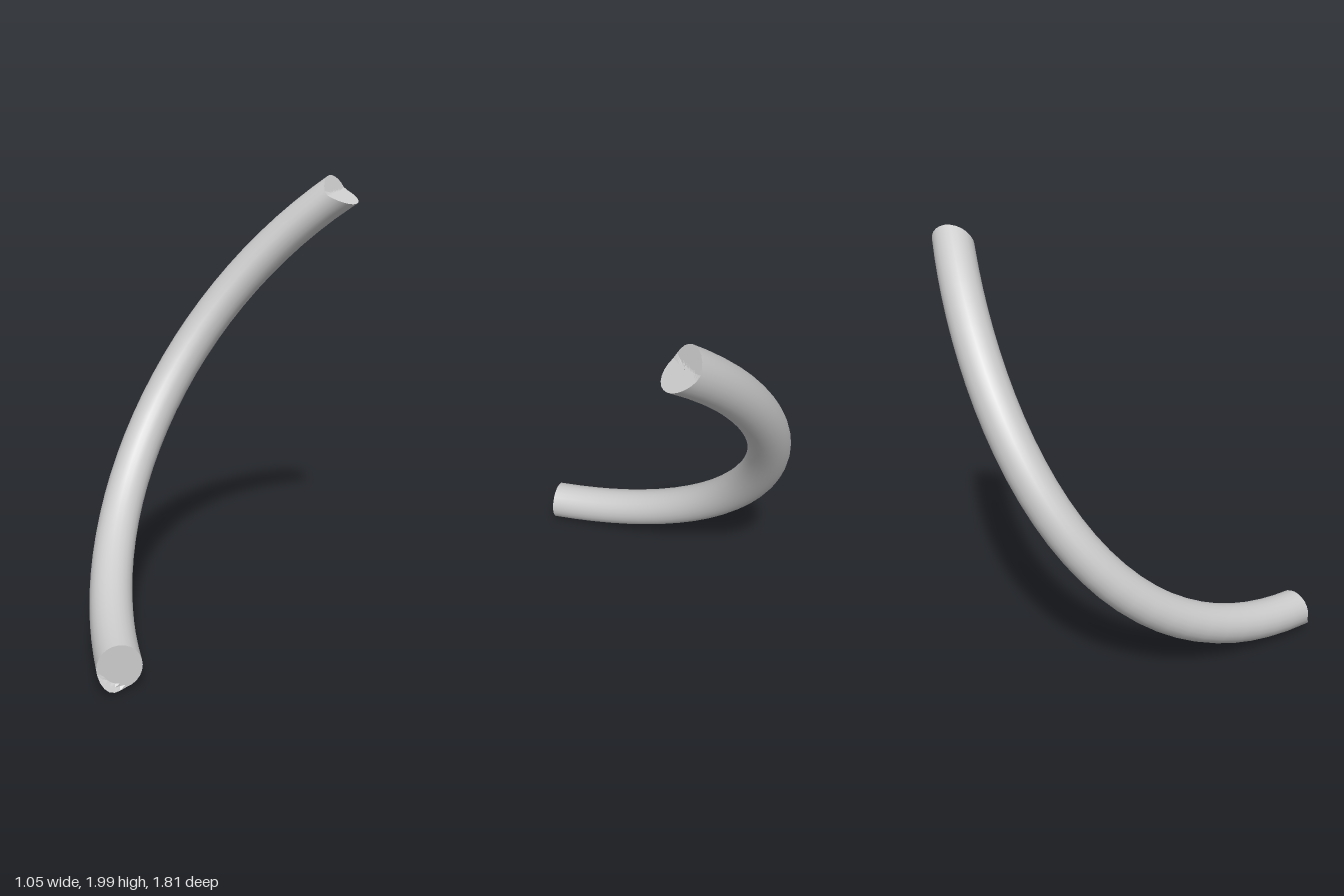
import * as THREE from 'three';

const V = (x, y, z) => new THREE.Vector3(x, y, z);
const RADIUS = 0.095, SIDES = 24, STEPS = 28;

// Push a point along the tube direction until it meets the outer of two cutting planes
function pushToCut(p, dir, planes) {
  const h = planes.map((pl) => -pl.distanceToPoint(p) / pl.normal.dot(dir));
  return p.addScaledVector(dir, Math.max(...h));
}

// Two planes sharing the crease a-b, passing through c and d
function creasedCut(a, b, c, d) {
  return [c, d].map((q) => new THREE.Plane().setFromCoplanarPoints(a, b, q));
}

export function createModel() {
  const group = new THREE.Group();
  group.name = 'curvedRod';
  const material = new THREE.MeshStandardMaterial({ color: 0xcccccc });

  // Centre line of the bent rod, from the low front end to the high back end
  const path = new THREE.CubicBezierCurve3(
    V(0.48, 0.098, 0.82), V(-0.664, 0.175, 0.209), V(-0.662, 1.3, -0.3), V(0.092, 1.927, -0.808),
  );
  const tube = new THREE.TubeGeometry(path, STEPS, RADIUS, SIDES);
  const pos = tube.attributes.position;

  // Each end is trimmed by a shallow two-plane cut
  const ends = [
    { name: 'lowerEnd', step: 0, sign: -1,
      cut: creasedCut(V(0.44, 0.07, 0.9), V(0.481, 0.01, 0.815), V(0.52, 0.1, 0.735), V(0.484, 0.023, 0.889)) },
    { name: 'upperEnd', step: STEPS, sign: 1,
      cut: creasedCut(V(0.09, 1.91, -0.7), V(0.035, 1.93, -0.89), V(0.155, 1.865, -0.82), V(0.02, 2.0, -0.82)) },
  ];
  for (const { name, step, sign, cut } of ends) {
    const centre = path.getPointAt(step / STEPS);
    const dir = tube.tangents[step].clone().multiplyScalar(sign);

    // Rim of the tube
    for (let j = 0; j <= SIDES; j++) {
      const i = step * (SIDES + 1) + j;
      const p = pushToCut(V(0, 0, 0).fromBufferAttribute(pos, i), dir, cut);
      pos.setXYZ(i, p.x, p.y, p.z);
    }

    // Cap laid over the cut
    let cap = new THREE.RingGeometry(0.0005, RADIUS, SIDES, 8);
    const cp = cap.attributes.position;
    for (let i = 0; i < cp.count; i++) {
      const p = centre.clone()
        .addScaledVector(tube.normals[step], cp.getX(i))
        .addScaledVector(tube.binormals[step], sign * cp.getY(i));
      pushToCut(p, dir, cut);
      cp.setXYZ(i, p.x, p.y, p.z);
    }
    cap = cap.toNonIndexed();
    cap.computeVertexNormals();
    const mesh = new THREE.Mesh(cap, material);
    mesh.name = name;
    group.add(mesh);
  }

  const rod = new THREE.Mesh(tube, material);
  rod.name = 'rod';
  group.add(rod);
  return group;
}
